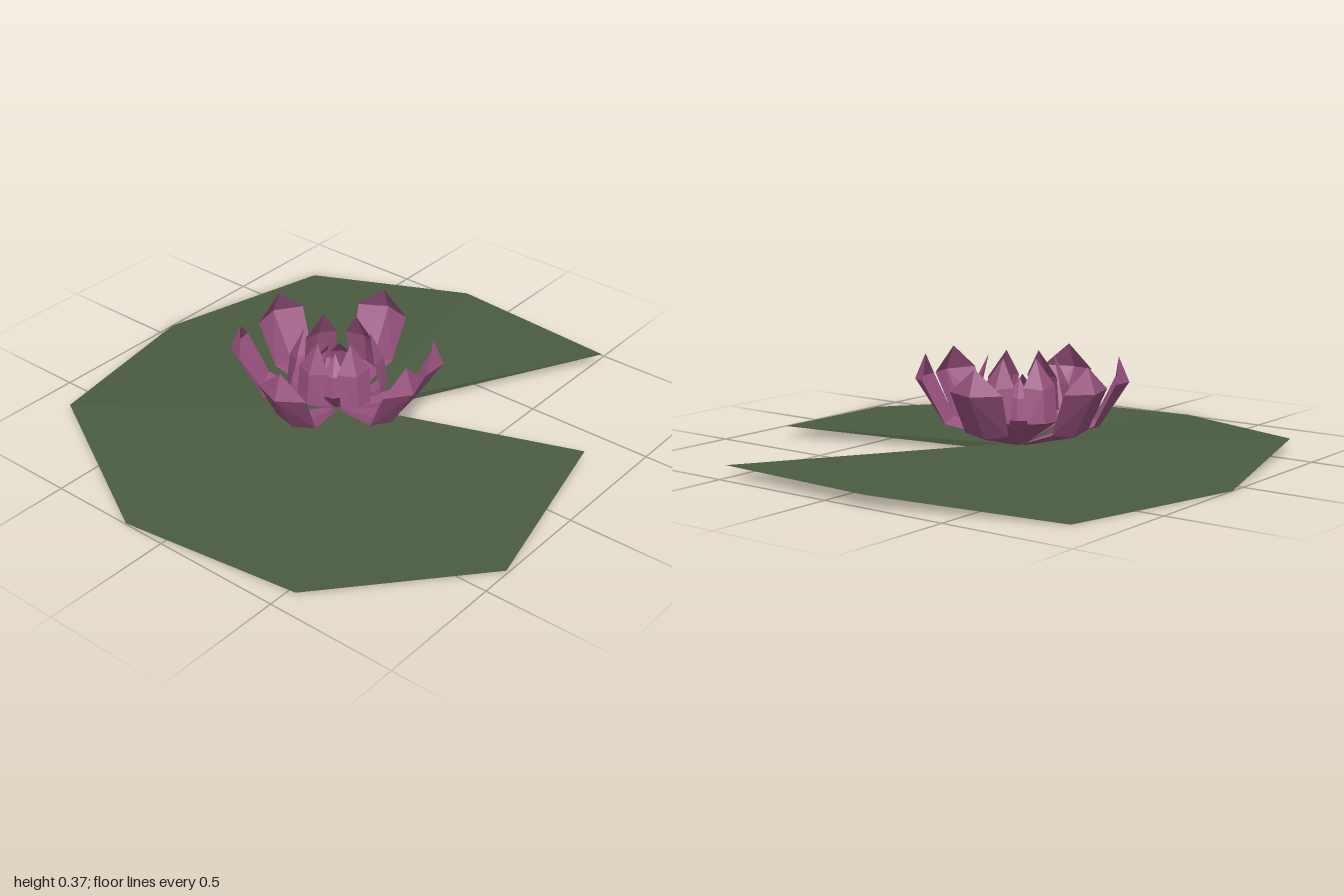
import * as THREE from 'three';

const leafGreen = new THREE.MeshStandardMaterial({ color: 0x4a5c40, flatShading: true });
leafGreen.name = 'leafGreen';
const petalPink = new THREE.MeshStandardMaterial({ color: 0x98527e, flatShading: true, side: THREE.DoubleSide });
petalPink.name = 'petalPink';

// Builds a mesh from a list of triangles, each three [x, y, z] points
function facetMesh(name, triangles, material) {
  const geometry = new THREE.BufferGeometry();
  geometry.setAttribute('position', new THREE.Float32BufferAttribute(triangles.flat(2), 3));
  geometry.computeVertexNormals();
  const mesh = new THREE.Mesh(geometry, material);
  mesh.name = name;
  return mesh;
}

// Notched pad: wavy rim, slightly thicker at the centre
function createLeaf() {
  const rim = [
    [0.95, 0.04, 0.52], [1, 0.044, -0.18], [0.77, 0, -0.83],
    [0.07, 0, -1], [-0.65, 0.042, -0.83], [-1, 0.004, -0.17],
    [-0.91, 0.006, 0.53], [-0.37, 0, 0.99], [0.33, 0.044, 0.84],
  ];
  const top = [0.04, 0.032, 0], bottom = [0.04, 0.006, 0];
  const triangles = [];
  for (let i = 0; i < rim.length - 1; i++) {
    triangles.push([top, rim[i], rim[i + 1]], [bottom, rim[i + 1], rim[i]]);
  }
  // Walls of the notch
  triangles.push([top, bottom, rim[0]], [bottom, top, rim[rim.length - 1]]);
  return facetMesh('lilyPad', triangles, leafGreen);
}

// Cupped petal along +x. Rows: [middle radius, middle y, side radius, side y, half width]
function createPetal(name, rows, tip) {
  const triangles = [];
  const points = rows.map(([r, y, sr, sy, w]) => [[sr, sy, w], [r, y, 0], [sr, sy, -w]]);
  for (let i = 0; i < points.length - 1; i++) {
    const a = points[i], b = points[i + 1];
    triangles.push([a[0], a[1], b[1]], [a[0], b[1], b[0]]);
    triangles.push([a[1], a[2], b[1]], [a[2], b[2], b[1]]);
  }
  const last = points[points.length - 1];
  const end = [tip[0], tip[1], 0];
  triangles.push([last[0], last[1], end], [last[1], last[2], end]);
  return facetMesh(name, triangles, petalPink);
}

function createRing(name, angles, rows, tip) {
  const ring = new THREE.Group();
  ring.name = name + 's';
  for (const angle of angles) {
    const petal = createPetal(name, rows, tip);
    petal.rotation.y = THREE.MathUtils.degToRad(angle);
    ring.add(petal);
  }
  return ring;
}

export function createModel() {
  const model = new THREE.Group();
  model.name = 'waterLily';
  model.add(createLeaf());

  const flower = new THREE.Group();
  flower.name = 'flower';
  flower.position.set(0, 0, -0.055);
  const even = [0, 60, 120, 180, 240, 300];

  // Open outer petals, unevenly spread
  flower.add(createRing('outerPetal', [10, 78, 124, 186, 263, 298.5], [
    [0.02, 0.03, 0.02, 0.035, 0.015],
    [0.29, 0.1, 0.27, 0.115, 0.088],
    [0.4, 0.27, 0.35, 0.275, 0.105],
  ], [0.36, 0.365]));

  // Upright middle petals
  flower.add(createRing('middlePetal', even.map((a) => a + 4), [
    [0.02, 0.035, 0.02, 0.04, 0.015],
    [0.19, 0.14, 0.17, 0.14, 0.06],
    [0.175, 0.26, 0.145, 0.27, 0.065],
  ], [0.12, 0.37]));

  // Small closed petals at the heart
  flower.add(createRing('innerPetal', even.map((a) => a + 30), [
    [0.02, 0.04, 0.02, 0.045, 0.01],
    [0.115, 0.14, 0.1, 0.14, 0.045],
    [0.1, 0.22, 0.085, 0.22, 0.04],
  ], [0.04, 0.29]));

  model.add(flower);
  return model;
}
